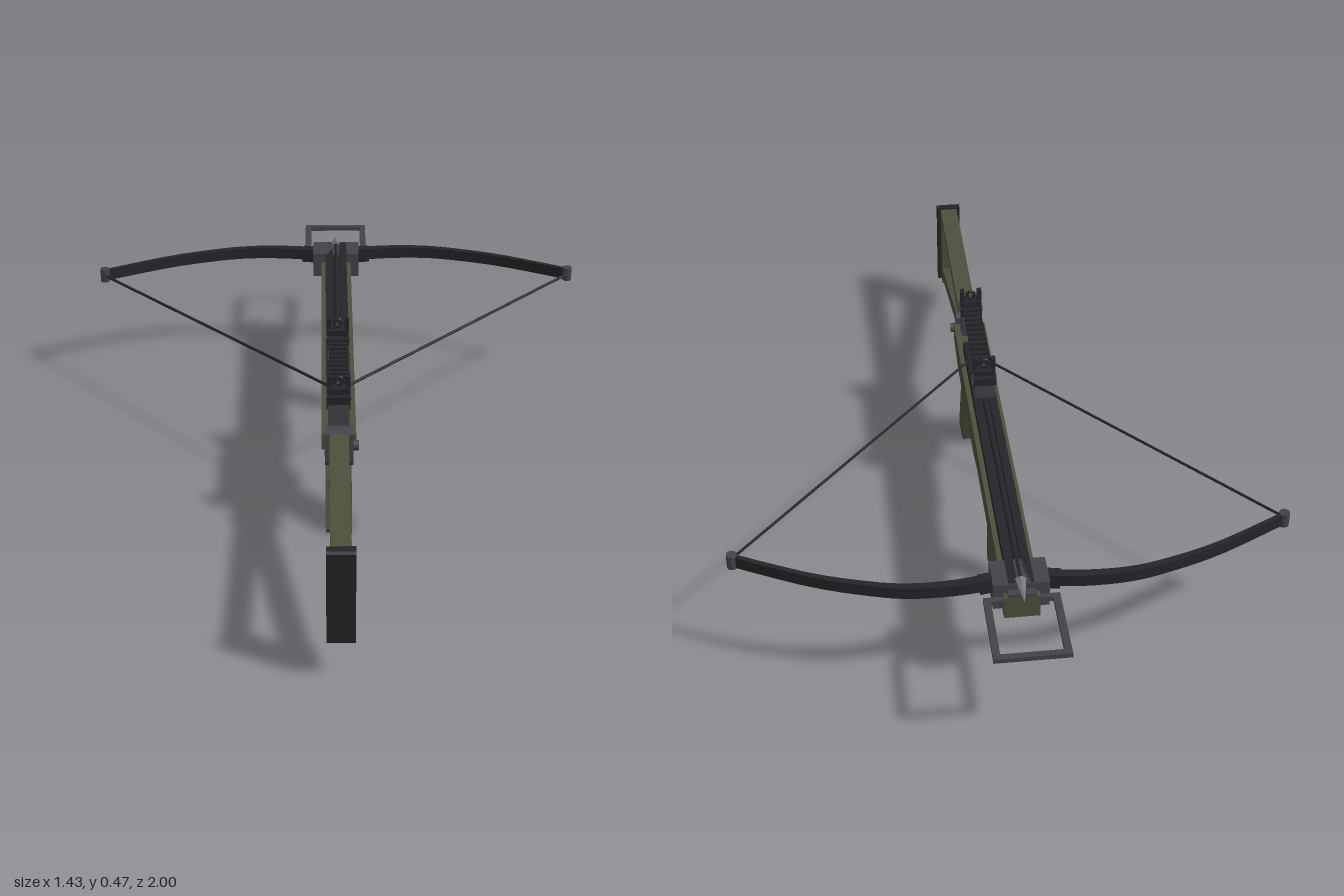
import * as THREE from 'three';

const mat = (color) => new THREE.MeshStandardMaterial({ color, side: THREE.DoubleSide, flatShading: true });

export function createModel() {
  const olive = mat(0x4c503c), dark = mat(0x242529), metal = mat(0x424349), steel = mat(0x77787c);
  const root = new THREE.Group();

  const add = (name, geo, m, x = 0, y = 0, z = 0, parent = root) => {
    const mesh = new THREE.Mesh(geo, m);
    mesh.name = name;
    mesh.position.set(x, y, z);
    parent.add(mesh);
    return mesh;
  };
  const box = (name, m, w, h, d, x, y, z, parent) => add(name, new THREE.BoxGeometry(w, h, d), m, x, y, z, parent);
  const v2 = (pts) => pts.map(([a, b]) => new THREE.Vector2(a, b));

  // Side profile in (z, y), extruded to a slab of the given width across x
  const slab = (name, m, pts, width, hole = null) => {
    const shape = new THREE.Shape(v2(pts));
    if (hole) shape.holes.push(new THREE.Path(v2(hole)));
    const geo = new THREE.ExtrudeGeometry(shape, { depth: width, bevelEnabled: false });
    geo.translate(0, 0, -width / 2).rotateY(-Math.PI / 2);
    return add(name, geo, m);
  };
  const rod = (name, m, a, b, r, sides = 6) => {
    const p = new THREE.Vector3(...a), q = new THREE.Vector3(...b);
    const mesh = add(name, new THREE.CylinderGeometry(r, r, p.distanceTo(q), sides), m);
    mesh.position.copy(p).lerp(q, 0.5);
    mesh.quaternion.setFromUnitVectors(new THREE.Vector3(0, 1, 0), q.sub(p).normalize());
    return mesh;
  };

  // Main body and grips
  slab('body', olive, [[0.383, 0.328], [0.383, 0.283], [0.27, 0.25], [-0.145, 0.25], [-0.2, 0.264],
    [-0.803, 0.264], [-0.803, 0.328]], 0.09);
  slab('pistolGrip', olive, [[0.25, 0.255], [0.302, 0.135], [0.322, 0.07], [0.345, 0.01], [0.34, 0],
    [0.265, 0], [0.235, 0.018], [0.168, 0.255]], 0.07);
  add('foregrip', new THREE.CylinderGeometry(0.036, 0.036, 0.19, 10), olive, 0, 0.172, -0.368);

  // Skeleton shoulder stock
  slab('shoulderStock', olive, [[0.975, 0.36], [0.9, 0.36], [0.41, 0.347], [0.41, 0.27], [0.89, 0.14],
    [0.94, 0.106], [0.975, 0.118]], 0.05,
    [[0.934, 0.322], [0.912, 0.335], [0.44, 0.32], [0.43, 0.303], [0.875, 0.18], [0.934, 0.165]]);
  slab('buttPad', dark, [[1, 0.358], [0.994, 0.364], [0.972, 0.364], [0.972, 0.106], [0.994, 0.106], [1, 0.112]], 0.07);
  slab('hinge', metal, [[0.417, 0.345], [0.408, 0.36], [0.395, 0.36], [0.385, 0.345], [0.385, 0.265],
    [0.395, 0.25], [0.408, 0.25], [0.417, 0.265]], 0.074);
  rod('hingeKnob', metal, [0.03, 0.305, 0.4], [0.052, 0.305, 0.4], 0.014, 10);

  // Grooved flight rail, latch and bolt
  for (const s of [-1, 1]) box('flightRail', dark, 0.022, 0.027, 1.03, s * 0.021, 0.3415, -0.265);
  box('grooveFloor', dark, 0.03, 0.01, 1.03, 0, 0.334, -0.265);
  slab('latchHousing', dark, [[0.25, 0.328], [0.25, 0.348], [0.225, 0.364], [0.06, 0.364], [0.04, 0.352], [0.04, 0.328]], 0.056);
  rod('boltShaft', dark, [0, 0.349, 0.1], [0, 0.349, -0.78], 0.008, 8);
  const head = add('boltHead', new THREE.ConeGeometry(0.016, 0.08, 6), steel, 0, 0.349, -0.805);
  head.rotation.x = -Math.PI / 2;

  // Trigger and guard
  slab('triggerGuard', dark, [[0.2, 0.252], [0.2, 0.164], [0.108, 0.164], [0.083, 0.186], [0.083, 0.25],
    [0.093, 0.25], [0.093, 0.192], [0.112, 0.175], [0.19, 0.175], [0.19, 0.252]], 0.03);
  const pull = new THREE.CatmullRomCurve3([[0.165, 0.255], [0.16, 0.23], [0.153, 0.215], [0.141, 0.202]]
    .map(([z, y]) => new THREE.Vector3(0, y, z)));
  add('trigger', new THREE.TubeGeometry(pull, 8, 0.006, 6), dark);

  // Riser block holding the limbs
  box('riser', metal, 0.14, 0.075, 0.092, 0, 0.3175, -0.738);
  box('riserNose', metal, 0.07, 0.022, 0.025, 0, 0.327, -0.79);

  // Limbs: a curved, tapering strip seen from above, extruded in height
  const bow = new THREE.SplineCurve(v2([[0.04, -0.738], [0.1, -0.749], [0.18, -0.757], [0.27, -0.755],
    [0.36, -0.737], [0.51, -0.686], [0.7, -0.591]]));
  const near = [], far = [];
  for (let i = 0; i <= 20; i++) {
    const t = i / 20, p = bow.getPoint(t), d = bow.getTangent(t), h = 0.014 - 0.008 * t;
    near.push([p.x - d.y * h, p.y + d.x * h]);
    far.unshift([p.x + d.y * h, p.y - d.x * h]);
  }
  for (const s of [-1, 1]) {
    const outline = v2([...near, ...far]).map((p) => p.set(p.x * s, p.y));
    const geo = new THREE.ExtrudeGeometry(new THREE.Shape(outline), { depth: 0.033, bevelEnabled: false });
    geo.rotateX(Math.PI / 2);
    add('limb', geo, dark, 0, 0.35, 0);
    const pocket = box('limbPocket', dark, 0.036, 0.042, 0.029, s * 0.083, 0.331, -0.746);
    pocket.rotation.y = s * 0.17;
    add('limbTip', new THREE.CylinderGeometry(0.014, 0.014, 0.04, 10), metal, s * 0.7, 0.334, -0.592);
    rod('bowstring', dark, [s * 0.7, 0.334, -0.585], [s * 0.018, 0.352, 0.17], 0.004);
  }
  rod('stringCentre', dark, [-0.019, 0.352, 0.17], [0.019, 0.352, 0.17], 0.005);

  // Foot stirrup
  const frame = new THREE.Shape(v2([[-0.095, 0.785], [0.095, 0.785], [0.095, 1], [-0.095, 1]]));
  frame.holes.push(new THREE.Path(v2([[-0.077, 0.8], [-0.077, 0.983], [0.077, 0.983], [0.077, 0.8]])));
  const stirrup = new THREE.ExtrudeGeometry(frame, { depth: 0.013, bevelEnabled: false });
  stirrup.rotateX(-Math.PI / 2);
  add('stirrup', stirrup, metal, 0, 0.306, 0);

  // Raised accessory rail with cross teeth
  box('sightRail', dark, 0.042, 0.014, 0.38, 0, 0.41, 0.16);
  for (let i = 0; i < 16; i++) box('railTooth', dark, 0.05, 0.009, 0.012, 0, 0.42, -0.02 + i * 0.024);

  // Rail posts with a forked sight on each
  for (const z of [0.335, -0.002]) {
    const sight = new THREE.Group();
    sight.name = 'sight';
    sight.position.z = z;
    root.add(sight);
    box('post', metal, 0.056, 0.072, 0.036, 0, 0.366, 0, sight);
    box('sightBase', dark, 0.06, 0.022, 0.054, 0, 0.413, 0, sight);
    box('sightBridge', dark, 0.058, 0.016, 0.036, 0, 0.436, 0, sight);
    for (const s of [-1, 1]) box('sightWing', dark, 0.012, 0.038, 0.018, s * 0.024, 0.456, 0, sight);
    box('sightStem', dark, 0.01, 0.012, 0.01, 0, 0.446, 0, sight);
    add('sightRing', new THREE.TorusGeometry(0.01, 0.005, 6, 14), dark, 0, 0.46, 0, sight);
    const knob = add('sightKnob', new THREE.CylinderGeometry(0.009, 0.009, 0.066, 8), metal, 0, 0.413, 0, sight);
    knob.rotation.z = Math.PI / 2;
  }
  return root;
}
